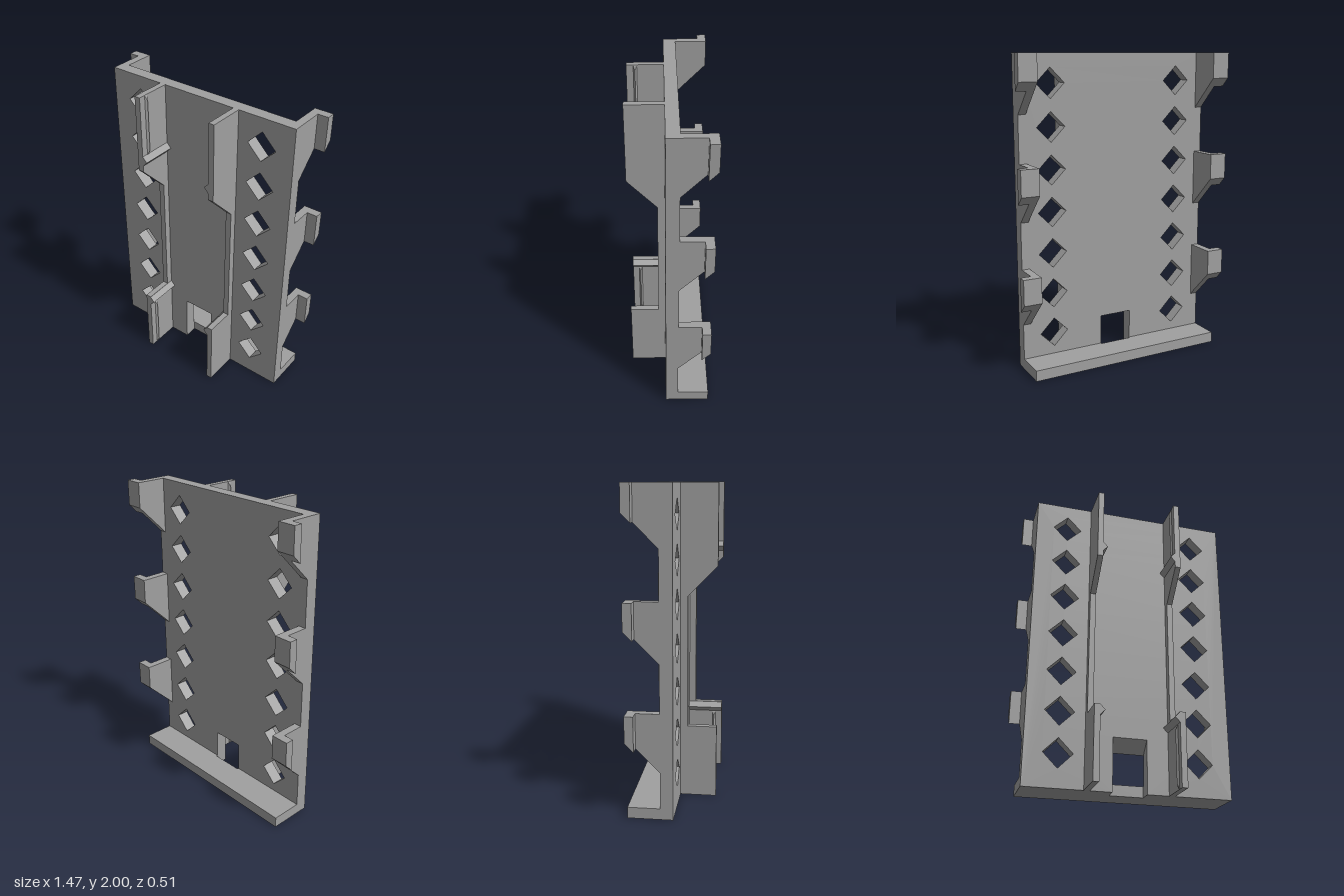
import * as THREE from 'three';
import { ConvexGeometry } from 'three/addons/geometries/ConvexGeometry.js';

export function createModel() {
  const group = new THREE.Group();
  const grey = new THREE.MeshStandardMaterial({ color: 0xa0a0a0 });
  grey.name = 'grey';

  const add = (name, geometry) => {
    const mesh = new THREE.Mesh(geometry, grey);
    mesh.name = name;
    group.add(mesh);
  };
  const toShape = (pts) => new THREE.Shape(pts.map(([a, b]) => new THREE.Vector2(a, b)));
  const extrude = (shape, depth) => new THREE.ExtrudeGeometry(shape, { depth, bevelEnabled: false });
  // (x, y) outline running from z0 to z1
  const alongZ = (shape, z0, z1) => extrude(shape, z1 - z0).translate(0, 0, z0);
  // (z, y) outline running from x0 to x1
  const alongX = (pts, x0, x1) => extrude(toShape(pts), x1 - x0).rotateY(-Math.PI / 2).translate(x1, 0, 0);

  const W = 0.665, back = -0.055, front = 0.025, rear = -0.255, rim = 0.255;

  // Back plate with an opening at the foot and two columns of diamond holes
  const plate = toShape([[-W, 0], [-0.11, 0], [-0.11, 0.345], [0.11, 0.345], [0.11, 0], [W, 0], [W, 2], [-W, 2]]);
  const r = 0.095;
  for (const x of [-0.452, 0.452]) {
    for (let i = 0; i < 7; i++) {
      const y = 0.217 + i * 0.267;
      plate.holes.push(new THREE.Path([[x, y - r], [x - r, y], [x, y + r], [x + r, y]].map(([a, b]) => new THREE.Vector2(a, b))));
    }
  }
  add('plate', alongZ(plate, back, front));

  // Sloping lintel of the opening
  add('openingLintel', alongX([[back, 0.265], [front, 0.345], [back, 0.345]], -0.11, 0.11));

  // Bottom shelf with a shallow notch behind the opening
  const shelf = toShape([[-W, rear], [W, rear], [W, back], [0.11, back], [0.11, -0.065], [-0.11, -0.065], [-0.11, back], [-W, back]]);
  add('shelf', extrude(shelf, 0.07).rotateX(Math.PI / 2).translate(0, 0.07, 0));

  for (const s of [-1, 1]) {
    const side = s > 0 ? 'left' : 'right';
    const span = (pts, a, b) => alongX(pts, Math.min(s * a, s * b), Math.max(s * a, s * b));

    // Hooks: sloping bracket plus outward tab
    for (const y of [2, 1.335, 0.668]) {
      const low = y - 0.165;
      add(side + 'Bracket', span([[back, y], [rear, y], [rear, low], [back, low - 0.2]], 0.615, W));
      add(side + 'Tab', span([[-0.2, y], [rear, y], [rear, low], [-0.2, low - 0.055]], W, 0.733));
    }

    // Front rail, tall at both ends and low in the middle
    add(side + 'Rail', span([[front, 0], [rim, 0], [rim, 0.47], [0.07, 0.47], [0.07, 1.31], [rim, 1.5], [rim, 2], [front, 2]], 0.25, 0.288));

    // Snap ridges across the inner rail faces
    for (const y of [0.435, 1.575]) {
      add(side + 'SnapRidge', alongZ(toShape([[s * 0.252, y - 0.035], [s * 0.22, y], [s * 0.252, y + 0.035]]), front, rim));
    }

    // Slim upright ribs with tapered ends
    for (const [y0, y1] of [[0, 0.4], [1.6, 2]]) {
      const pts = [];
      for (const y of [y0, y1]) pts.push([0.251, y, 0.188], [0.251, y, 0.212]);
      pts.push([0.237, y0 + 0.035, 0.2], [0.237, y1 - 0.035, 0.2]);
      add(side + 'GuideRib', new ConvexGeometry(pts.map(([x, y, z]) => new THREE.Vector3(s * x, y, z))));
    }
  }
  return group;
}
